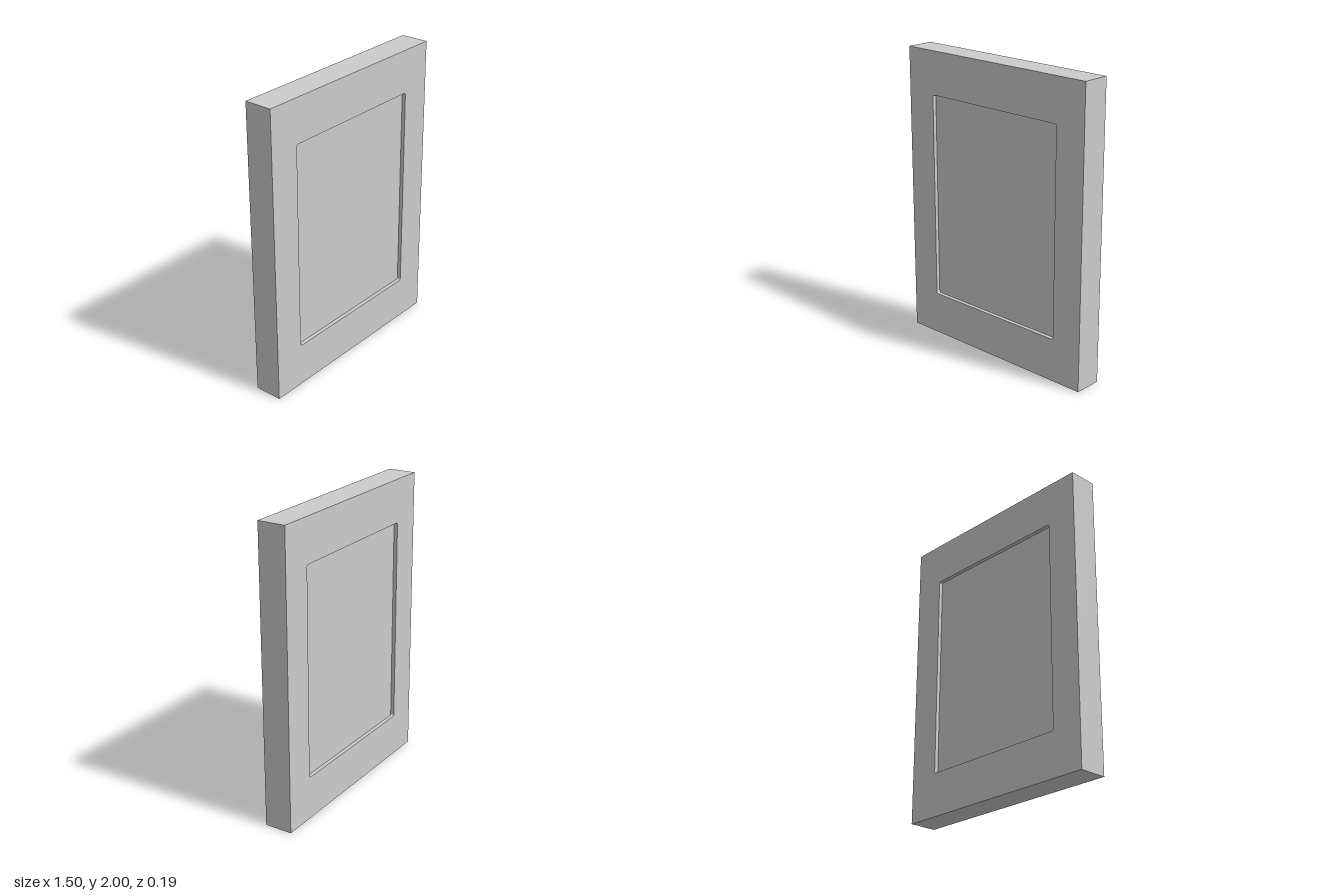
import * as THREE from 'three';

const WIDTH = 1.5, HEIGHT = 2, DEPTH = 0.19;
const PANEL_W = 1.066, PANEL_H = 1.412, RECESS = 0.026, RADIUS = 0.014;

// Rectangle centred on the origin, with rounded corners
function roundedRect(path, w, h, r) {
  const x = w / 2 - r, y = h / 2 - r;
  path.moveTo(-x, -y - r);
  path.absarc(x, -y, r, -Math.PI / 2, 0);
  path.absarc(x, y, r, 0, Math.PI / 2);
  path.absarc(-x, y, r, Math.PI / 2, Math.PI);
  path.absarc(-x, -y, r, Math.PI, Math.PI * 1.5);
  path.closePath();
  return path;
}

// Extrudes a shape evenly about z = 0 at mid height
function slab(name, shape, depth, material) {
  const geometry = new THREE.ExtrudeGeometry(shape, { depth, bevelEnabled: false, curveSegments: 6 });
  geometry.translate(0, HEIGHT / 2, -depth / 2);
  const mesh = new THREE.Mesh(geometry, material);
  mesh.name = name;
  return mesh;
}

export function createModel() {
  const group = new THREE.Group();
  group.name = 'framedPanel';
  const material = new THREE.MeshStandardMaterial({ color: 0xcccccc });

  // Sharp-edged frame with a rounded opening
  const w = WIDTH / 2, h = HEIGHT / 2;
  const frame = new THREE.Shape([[-w, -h], [w, -h], [w, h], [-w, h]].map(([x, y]) => new THREE.Vector2(x, y)));
  frame.holes.push(roundedRect(new THREE.Path(), PANEL_W, PANEL_H, RADIUS));
  group.add(slab('frame', frame, DEPTH, material));

  // Panel filling the opening, set back on both faces
  const panel = roundedRect(new THREE.Shape(), PANEL_W, PANEL_H, RADIUS);
  group.add(slab('panel', panel, DEPTH - 2 * RECESS, material));

  return group;
}
